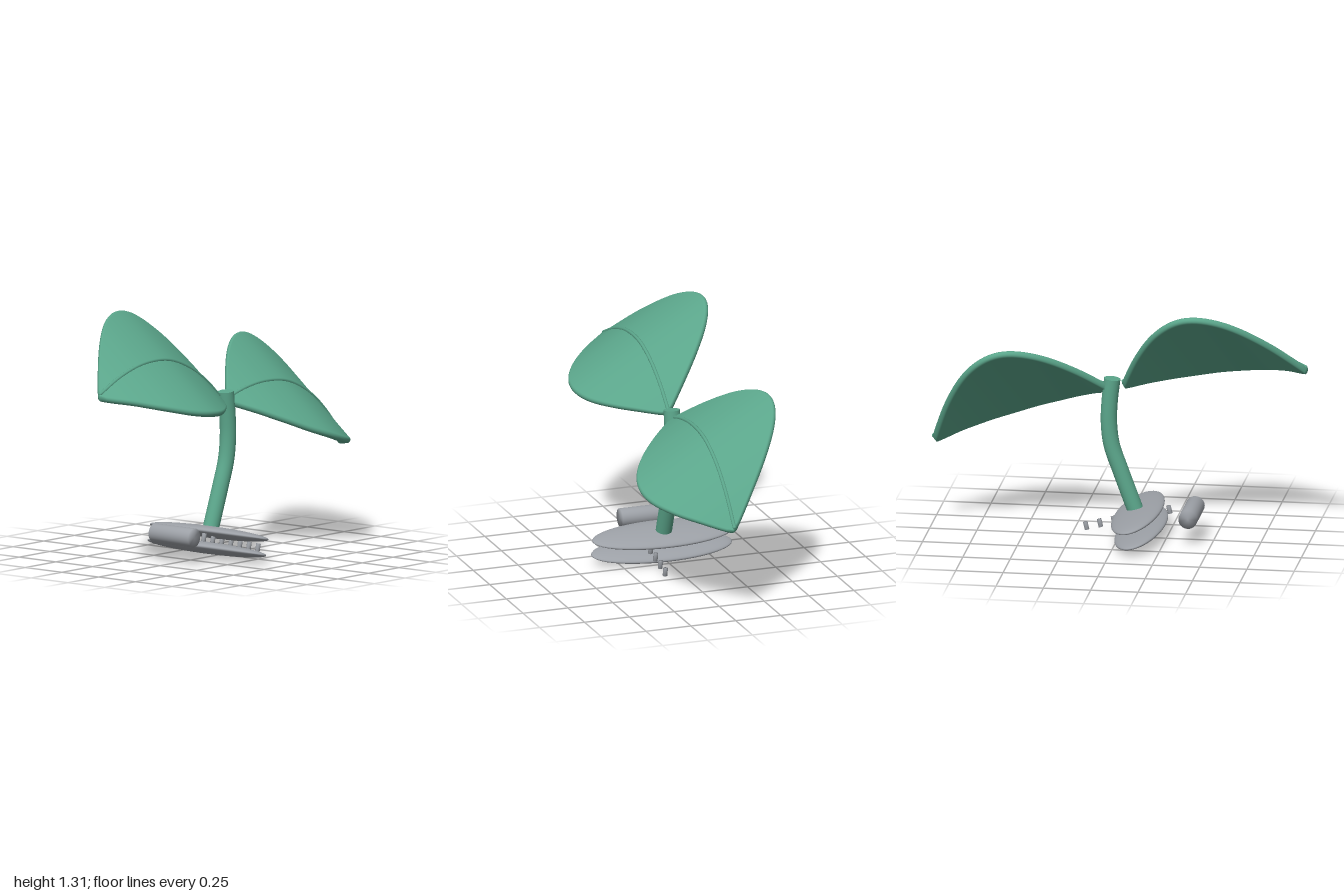
import * as THREE from 'three';
import { mergeVertices } from 'three/addons/utils/BufferGeometryUtils.js';

const TILT = -0.229; // lean of the whole plant about z
const SLOPE = 0.69; // leaves drop toward the front

// Cylinder with normals blended over its rims
function softCylinder(radius, length, sides) {
  let g = new THREE.CylinderGeometry(radius, radius, length, sides);
  g.deleteAttribute('uv');
  g.deleteAttribute('normal');
  g = mergeVertices(g, 1e-5);
  g.computeVertexNormals();
  return g;
}

// Arched spine of a leaf, from the stem outward
const spine = new THREE.CatmullRomCurve3([
  [0.04, -0.025], [0.17, 0.042], [0.32, 0.093], [0.5, 0.113],
  [0.69, 0.072], [0.86, -0.014], [1.008, -0.125],
].map(([x, y]) => new THREE.Vector3(x, y, 0)));

// Leaf blade: rounded flat sections swept along the spine
function leafGeometry(slope) {
  const steps = 48, half = 8, h = 0.018, ring = 2 * (half + 1);
  const pos = [], index = [];
  const edge = new THREE.Vector3(0, -slope, 1).normalize();
  for (let i = 0; i <= steps; i++) {
    const p = spine.getPoint(i / steps);
    const tan = spine.getTangent(i / steps);
    const normal = new THREE.Vector3(-tan.y / tan.x, 1, slope).normalize();
    const t = (p.x - 0.04) / 0.968;
    const w = 0.333 * Math.pow(Math.max(0, Math.sin(Math.PI * t)), 0.96);
    for (let s = 0; s < 2; s++) {
      for (let j = 0; j <= half; j++) {
        const a = -Math.PI / 2 + Math.PI * (s + j / half);
        const z = s === 0 ? w : -w;
        const v = new THREE.Vector3(p.x, p.y - slope * z, z)
          .addScaledVector(normal, h * Math.sin(a))
          .addScaledVector(edge, h * Math.cos(a));
        pos.push(v.x, v.y, v.z);
      }
    }
  }
  for (let i = 0; i < steps; i++) {
    for (let j = 0; j < ring; j++) {
      const k = (j + 1) % ring;
      const a = i * ring + j, b = a + ring, c = i * ring + k, d = c + ring;
      index.push(a, b, c, b, d, c);
    }
  }
  // End caps
  const last = steps * ring;
  for (let j = 1; j < ring - 1; j++) {
    index.push(0, j, j + 1, last, last + j + 1, last + j);
  }
  const g = new THREE.BufferGeometry();
  g.setAttribute('position', new THREE.Float32BufferAttribute(pos, 3));
  g.setIndex(index);
  g.computeVertexNormals();
  return g;
}

export function createModel() {
  const green = new THREE.MeshStandardMaterial({ color: 0x5ba68b });
  green.name = 'leafGreen';
  const grey = new THREE.MeshStandardMaterial({ color: 0x9ca0a6 });
  grey.name = 'stoneGrey';

  const model = new THREE.Group();
  model.name = 'sprout';
  const add = (parent, name, geometry, material, x = 0, y = 0, z = 0) => {
    const mesh = new THREE.Mesh(geometry, material);
    mesh.name = name;
    mesh.position.set(x, y, z);
    parent.add(mesh);
    return mesh;
  };

  // Pair of leaves with raised midribs
  const leaves = new THREE.Group();
  leaves.name = 'leaves';
  leaves.position.set(0.02, 0.84, 0);
  leaves.rotation.z = TILT;
  model.add(leaves);
  const ribPath = new THREE.CatmullRomCurve3(
    spine.getPoints(24).map((p) => p.add(new THREE.Vector3(0, 0.022, 0))));
  for (const side of [1, -1]) {
    const leaf = new THREE.Group();
    leaf.name = side > 0 ? 'leftLeaf' : 'rightLeaf';
    leaf.rotation.y = side > 0 ? 0 : Math.PI;
    add(leaf, 'blade', leafGeometry(SLOPE * side), green);
    add(leaf, 'midrib', new THREE.TubeGeometry(ribPath, 48, 0.01, 8), green);
    const ribEnd = spine.getPoint(1);
    add(leaf, 'midribEnd', new THREE.SphereGeometry(0.01, 8, 6), green, ribEnd.x, ribEnd.y + 0.022, 0);
    leaves.add(leaf);
  }

  // Curved stem with a flat top
  const stemPath = new THREE.CatmullRomCurve3([
    [-0.095, 0.13], [-0.01, 0.36], [0.038, 0.5], [0.053, 0.62], [0.049, 0.74], [0.035, 0.862],
  ].map(([x, y]) => new THREE.Vector3(x, y, 0)));
  add(model, 'stem', new THREE.TubeGeometry(stemPath, 40, 0.043, 24), green);
  const top = add(model, 'stemTop', new THREE.CircleGeometry(0.043, 24), green, 0.035, 0.862, 0);
  top.lookAt(stemPath.getTangent(1).add(top.position));

  // Two lens-shaped base plates
  for (const [name, x, y] of [['upperPlate', -0.1, 0.135], ['lowerPlate', -0.118, 0.053]]) {
    const plate = add(model, name, new THREE.SphereGeometry(1, 48, 24), grey, x, y, 0);
    plate.scale.set(0.133, 0.031, 0.39);
    plate.rotation.z = TILT;
  }

  // Row of small pegs
  const pegGeometry = softCylinder(0.0125, 0.042, 12);
  for (let i = 0; i < 7; i++) {
    const peg = add(model, 'peg', pegGeometry, grey, -0.252 + 0.0732 * i, 0.134 - 0.0178 * i, 0.092);
    peg.rotation.z = TILT;
  }

  // Roller lying beside the plates
  const roller = add(model, 'roller', softCylinder(0.05, 0.268, 32), grey, -0.383, 0.15, 0);
  roller.rotation.x = Math.PI / 2;

  return model;
}
